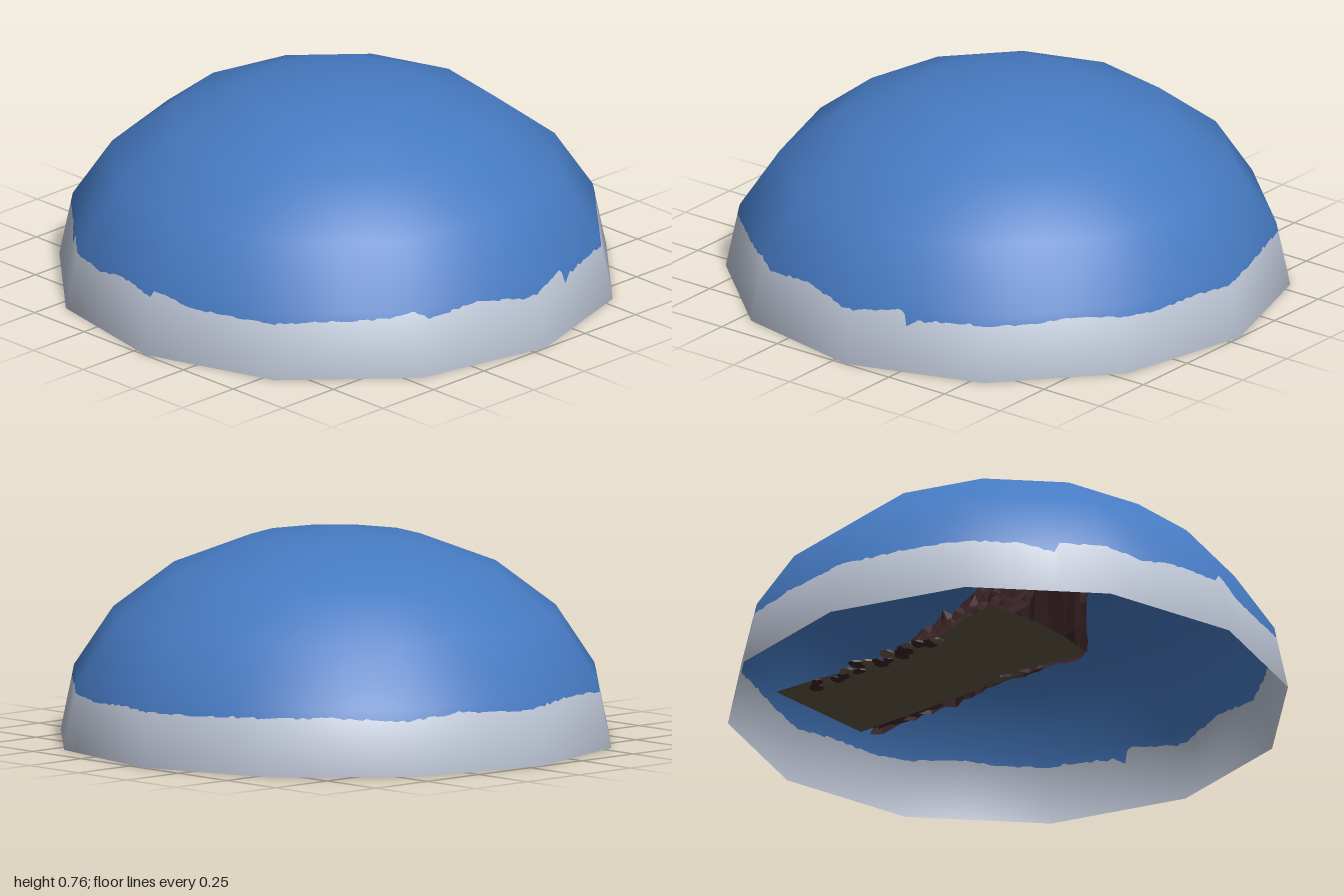
import * as THREE from 'three';

const SIDES = 12, ROWS = 5, HEIGHT = 0.757, STEPS = 48;
const TURN = THREE.MathUtils.degToRad(3.1);

// Small repeatable noise, -1..1
const noise = (a, b = 0) => {
  const s = Math.sin(a * 127.1 + b * 311.7) * 43758.5453;
  return (s - Math.floor(s)) * 2 - 1;
};

// Ragged top of the haze band: [degrees from +z toward +x, height]
const HAZE = [
  [-72, .21], [-53, .2], [-45, .2], [-42, .185], [-38, .165], [-37, .21], [-24, .2], [-17, .19], [-9, .215],
  [2.2, .2], [3, .233], [11, .197], [24, .19], [37, .2], [49, .205], [57, .21], [62.5, .233], [66, .2],
  [78, .217], [90, .19], [97, .2], [104.8, .217], [105.6, .165], [108, .185], [120, .2], [134, .195],
  [142, .21], [154, .2], [162, .185], [175, .195], [190, .19], [205, .2], [225, .205], [240, .19], [255, .21],
  [270, .195], [288, .21],
];

function hazeTop(deg, key) {
  const a = THREE.MathUtils.euclideanModulo(deg + 72, 360) - 72;
  let i = 0;
  while (i < HAZE.length - 2 && HAZE[i + 1][0] < a) i++;
  const [a0, y0] = HAZE[i], [a1, y1] = HAZE[i + 1];
  return Math.min(0.233, y0 + (y1 - y0) * (a - a0) / (a1 - a0) + 0.004 * noise(Math.floor(key / 2)));
}

// Point on the faceted dome: u counts sides, v counts rows
function domePoint(u, v) {
  const ring = (row) => {
    const e = row / ROWS * Math.PI / 2, k = Math.floor(u), f = u - k;
    const corner = (n) => {
      const t = TURN + n / SIDES * Math.PI * 2;
      return new THREE.Vector3(Math.sin(t) * Math.cos(e), HEIGHT * Math.sin(e), Math.cos(t) * Math.cos(e));
    };
    return corner(k).lerp(corner(k + 1), f);
  };
  const r = Math.min(Math.floor(v), ROWS - 1);
  return ring(r).lerp(ring(r + 1), v - r);
}

// Skin joining successive rings; levels are functions returning v for a ring step
function domeSkin(levels) {
  const pos = [], nor = [], idx = [], n = SIDES * STEPS;
  levels.forEach((level) => {
    for (let i = 0; i <= n; i++) {
      const p = domePoint(i / STEPS, level(i));
      pos.push(p.x, p.y, p.z);
      const m = new THREE.Vector3(p.x, p.y / (HEIGHT * HEIGHT), p.z).normalize();
      nor.push(m.x, m.y, m.z);
    }
  });
  for (let r = 0; r < levels.length - 1; r++) {
    for (let i = 0; i < n; i++) {
      const a = r * (n + 1) + i, b = a + n + 1;
      idx.push(a, a + 1, b + 1, a, b + 1, b);
    }
  }
  const g = new THREE.BufferGeometry();
  g.setAttribute('position', new THREE.Float32BufferAttribute(pos, 3));
  g.setAttribute('normal', new THREE.Float32BufferAttribute(nor, 3));
  g.setIndex(idx);
  return g;
}

export function createModel() {
  const group = new THREE.Group();
  const material = (name, color, extra = {}) => {
    const m = new THREE.MeshStandardMaterial({ color, side: THREE.DoubleSide, ...extra });
    m.name = name;
    return m;
  };
  const blue = material('sky blue', 0x467ac2);
  const grey = material('haze grey', 0xbec6d6);
  const rock = material('rock brown', 0x3a2426, { flatShading: true });
  const earth = material('dark earth', 0x625643);
  const pale = material('pale rock', 0x6a5a4a, { flatShading: true });
  const add = (name, geometry, mat) => {
    const mesh = new THREE.Mesh(geometry, mat);
    mesh.name = name;
    group.add(mesh);
    return mesh;
  };

  // Open dome: pale haze band below, sky above
  const firstRow = HEIGHT * Math.sin(Math.PI / 2 / ROWS);
  const edge = (i) => {
    const n = i % (SIDES * STEPS);
    return hazeTop(3.1 + n / STEPS * 360 / SIDES, n) / firstRow;
  };
  add('hazeBand', domeSkin([() => 0, edge]), grey);
  add('skyDome', domeSkin([edge, () => 1, () => 2, () => 3, () => 4, () => 5]), blue);

  // Flat ground under the cliffs, with a broken edge on one side
  const base = 0.15;
  const outline = [[.09, .29], [-.05, .315], [-.2, .325], [-.42, .3], [-.4, .15], [-.36, .02], [-.33, -.06],
    [-.35, -.2], [-.34, -.4], [-.37, -.55], [-.39, -.75], [.06, -.75]];
  const ground = new THREE.ShapeGeometry(new THREE.Shape(outline.map(([x, z]) => new THREE.Vector2(x, z))));
  ground.rotateX(Math.PI / 2);
  ground.translate(0, base, 0);
  add('ground', ground, earth);

  // Cliff ridge: steep on the +x side, falling away to the other
  const cliff = new THREE.PlaneGeometry(1, 1, 18, 26).rotateX(-Math.PI / 2);
  const p = cliff.attributes.position;
  for (let i = 0; i < p.count; i++) {
    const u = p.getX(i) + 0.5, w = p.getZ(i) + 0.5;
    const ridge = THREE.MathUtils.smoothstep(1 - u, 0, 0.22) * Math.pow(u, 1.6) * 1.35;
    const height = (0.2 + 0.28 * w) * ridge * (1 + 0.1 * noise(i, 3));
    p.setXYZ(i,
      -0.33 + 0.43 * u + 0.012 * noise(i, 1) * u,
      base + 0.004 + Math.max(0, height),
      -0.72 + 1.0 * w + 0.012 * noise(i, 2));
  }
  cliff.computeVertexNormals();
  add('cliffRidge', cliff, rock);

  // Rough hanging rock face, bulging over the steep side of the ground
  const face = new THREE.PlaneGeometry(1, 1, 26, 9);
  const q = face.attributes.position;
  for (let i = 0; i < q.count; i++) {
    const w = q.getX(i) + 0.5, t = q.getY(i) + 0.5;
    const z = 0.28 - 1.0 * (1 - w);
    const inset = 0.05 * Math.exp(-(((z + 0.05) / 0.15) ** 2)) * (1 - t);
    q.setXYZ(i,
      0.09 + 0.025 * Math.sin(t * Math.PI) - inset + 0.016 * noise(i, 4),
      base - 0.012 + t * (0.2 + 0.28 * w) + 0.01 * noise(i, 5),
      z);
  }
  face.computeVertexNormals();
  add('rockFace', face, rock);

  // Pale outcrops on the rock face
  for (let i = 0; i < 10; i++) {
    const outcrop = add('outcrop', new THREE.DodecahedronGeometry(0.026), pale);
    outcrop.position.set(0.105, 0.24 + 0.06 * noise(i, 9), 0.15 - i * 0.025);
    outcrop.scale.set(0.8, 0.5, 1.2);
    outcrop.rotation.x = 0.6 * noise(i, 10);
  }

  // Loose slabs along the broken edge
  for (let i = 0; i < 18; i++) {
    const stone = add('edgeStone', new THREE.DodecahedronGeometry(0.024), i % 3 ? rock : pale);
    stone.position.set(-0.35 + 0.03 * noise(i, 6), base, -0.04 - i * 0.034);
    stone.scale.set(1.2 + 0.6 * noise(i, 7), 0.35, 1.2);
    stone.rotation.y = 0.5 * noise(i, 8);
  }
  return group;
}
